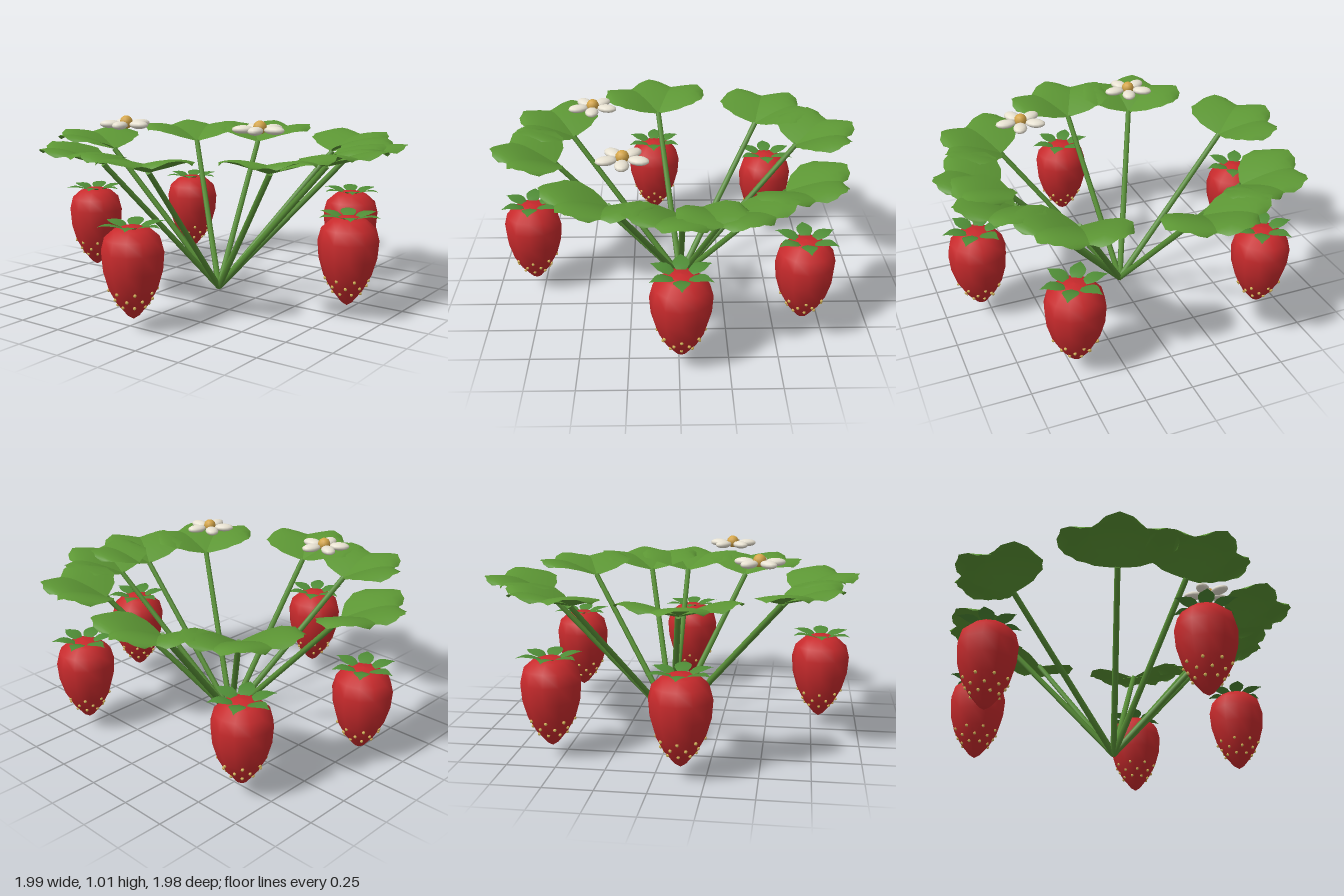
import * as THREE from 'three';

const mat = (name, color, side = THREE.FrontSide) => {
  const m = new THREE.MeshStandardMaterial({ color, side });
  m.name = name;
  return m;
};
const leafGreen = mat('leaf green', 0x5c9634, THREE.DoubleSide);
const stemGreen = mat('stem green', 0x588f36);
const sepalGreen = mat('sepal green', 0x4f8c36, THREE.DoubleSide);
const berryRed = mat('berry red', 0xc82a2c);
const petalWhite = mat('petal white', 0xe8e2d2);
const pollenYellow = mat('pollen yellow', 0xd4a548);
const seedTan = mat('seed tan', 0xd4b458);

const HUB = new THREE.Vector3(-0.01, 0.015, -0.02);

function add(parent, name, geometry, material, x = 0, y = 0, z = 0) {
  const mesh = new THREE.Mesh(geometry, material);
  mesh.name = name;
  mesh.position.set(x, y, z);
  parent.add(mesh);
  return mesh;
}

// Blade along +z: rule(u, s) gives x, y, z for u across (-1..1), s along (0..1)
function blade(cols, rows, rule) {
  const g = new THREE.PlaneGeometry(2, 1, cols, rows).rotateX(-Math.PI / 2);
  const p = g.attributes.position;
  for (let i = 0; i < p.count; i++) {
    p.setXYZ(i, ...rule(p.getX(i), p.getZ(i) + 0.5));
  }
  g.computeVertexNormals();
  return g;
}

// Broad, blunt, scalloped leaflet that rises from the stem and droops at its edges
const leafletGeometry = blade(6, 8, (u, s) => {
  const row = Math.round(s * 8);
  const width = 0.15 * Math.pow(Math.sin(Math.PI * (0.01 + 0.79 * s)), 0.8);
  const tooth = s > 0.95 && Math.round((u + 1) * 3) % 2 === 0 ? 0.97 : 1;
  return [
    u * width * (row % 2 ? 0.95 : 1.02),
    0.1 * Math.sin(s * 1.75) - 0.035 * u * u * s,
    s * 0.335 * (1 - 0.12 * u * u) * tooth,
  ];
});

// Pointed sepal that arches over the berry shoulder
const sepalGeometry = blade(2, 6, (u, s) => [
  u * (0.01 + 0.036 * Math.sin(Math.PI * s)) * (1 - s * s * s),
  0.025 * Math.sin(s * 2.4) - 0.006 * Math.abs(u) * (1 - s),
  0.035 + 0.14 * s,
]);

const berryGeometry = new THREE.LatheGeometry(
  [[0, 0.06], [0.03, 0.08], [0.082, 0.145], [0.122, 0.22], [0.148, 0.31], [0.155, 0.4],
    [0.138, 0.465], [0.09, 0.507], [0.045, 0.522], [0, 0.527]].map(([r, y]) => new THREE.Vector2(r, y)), 12);
const seedGeometry = new THREE.SphereGeometry(0.009, 6, 4);
const petalGeometry = new THREE.SphereGeometry(1, 12, 8).scale(0.055, 0.021, 0.037);
const pollenGeometry = new THREE.SphereGeometry(0.034, 12, 8);

function makeStem(end) {
  const dir = end.clone().sub(HUB);
  const g = new THREE.CylinderGeometry(0.015, 0.017, dir.length(), 6);
  const stem = new THREE.Mesh(g, stemGreen);
  stem.name = 'stem';
  stem.position.copy(HUB).addScaledVector(dir, 0.5);
  stem.quaternion.setFromUnitVectors(new THREE.Vector3(0, 1, 0), dir.normalize());
  return stem;
}

function makeLeaf(end) {
  const leaf = new THREE.Group();
  leaf.name = 'leaf';
  leaf.position.copy(end);
  leaf.rotation.y = Math.atan2(end.x - HUB.x, end.z - HUB.z);
  for (const side of [-1, 0, 1]) {
    add(leaf, side ? 'sideLeaflet' : 'middleLeaflet', leafletGeometry, leafGreen).rotation.y = side;
  }
  return leaf;
}

function makeBerry(x, z) {
  const berry = new THREE.Group();
  berry.name = 'berry';
  berry.position.set(x, 0, z);
  add(berry, 'fruit', berryGeometry, berryRed);
  for (let i = 0; i < 6; i++) {
    add(berry, 'sepal', sepalGeometry, sepalGreen, 0, 0.515, 0).rotation.y = Math.PI / 2 + i * Math.PI / 3;
  }
  // Staggered rings of seeds on the lower half
  [[0.21, 0.117], [0.17, 0.096], [0.135, 0.075]].forEach(([y, r], row) => {
    for (let i = 0; i < 8; i++) {
      const a = (i + row * 0.5) * Math.PI / 4;
      add(berry, 'seed', seedGeometry, seedTan, r * Math.cos(a), y, r * Math.sin(a));
    }
  });
  return berry;
}

function makeFlower(x, z) {
  const flower = new THREE.Group();
  flower.name = 'flower';
  flower.position.set(x, 0.963, z);
  for (let i = 0; i < 5; i++) {
    const a = i * Math.PI * 2 / 5;
    add(flower, 'petal', petalGeometry, petalWhite, 0.083 * Math.cos(a), 0, 0.083 * Math.sin(a)).rotation.y = -a;
  }
  add(flower, 'flowerCentre', pollenGeometry, pollenYellow, 0, 0.01, 0);
  return flower;
}

export function createModel() {
  const plant = new THREE.Group();
  plant.name = 'berryPlant';

  // Stems fan out from one root point, each carrying a three-part leaf
  const stemEnds = [[-0.18, -0.67], [-0.5, -0.47], [-0.67, 0.1], [-0.31, 0.58], [0.05, 0.65],
    [0.41, -0.54], [0.64, -0.24], [0.66, -0.02], [0.55, 0.34]];
  for (const [x, z] of stemEnds) {
    const end = new THREE.Vector3(x, 0.762, z);
    plant.add(makeStem(end), makeLeaf(end));
  }

  // Berries hang below five of the leaves
  for (const [x, z] of [[-0.8, 0.13], [-0.6, -0.55], [0.06, 0.79], [0.48, -0.65], [0.8, -0.01]]) {
    plant.add(makeBerry(x, z));
  }

  for (const [x, z] of [[-0.255, 0.46], [0.445, 0.27]]) plant.add(makeFlower(x, z));

  // Small root crown where the stems meet
  add(plant, 'rootCrown', new THREE.ConeGeometry(0.025, 0.04, 8).rotateX(Math.PI), stemGreen, HUB.x, 0.02, HUB.z);
  return plant;
}
